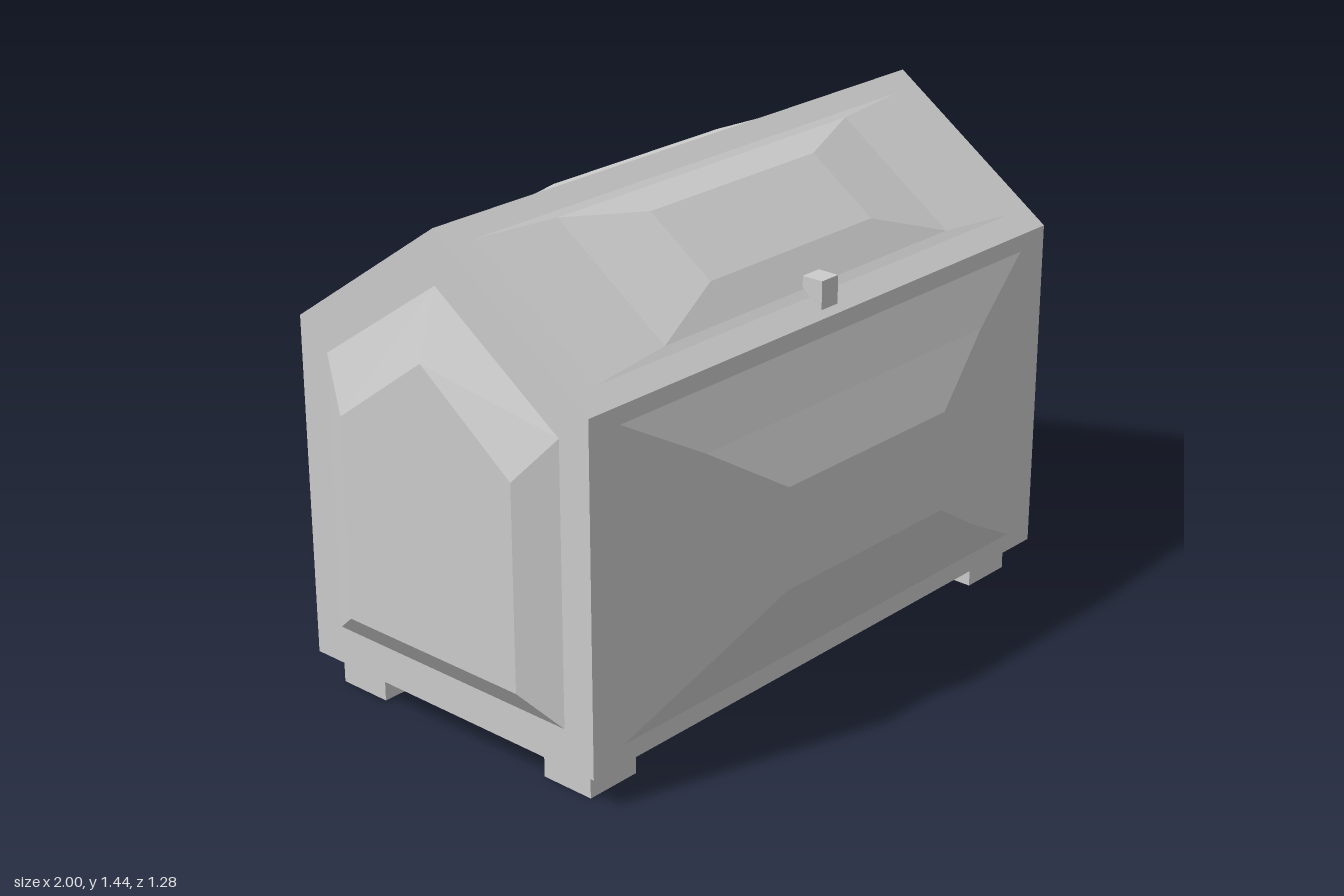
import * as THREE from 'three';

const grey = new THREE.MeshStandardMaterial({ color: 0xcccccc, flatShading: true });

const HALF_X = 0.94, HALF_Z = 0.52, FLOOR = 0.09, EAVE = 1.08, RIDGE = 1.44;
const SLOPE = (RIDGE - EAVE) / HALF_Z;

function mesh(name, geometry) {
  const m = new THREE.Mesh(geometry, grey);
  m.name = name;
  return m;
}

function box(name, x0, x1, y0, y1, z0, z1) {
  const m = mesh(name, new THREE.BoxGeometry(x1 - x0, y1 - y0, z1 - z0));
  m.position.set((x0 + x1) / 2, (y0 + y1) / 2, (z0 + z1) / 2);
  return m;
}

// Counter-clockwise outlines (u, v) at height h above a wall
const rect = (u, v0, v1, h) => [[-u, v0, h], [u, v0, h], [u, v1, h], [-u, v1, h]];
const gable = (u, v0, shoulder, peak, h) =>
  [[-u, v0, h], [u, v0, h], [u, shoulder, h], [0, peak, h], [-u, shoulder, h]];

// Raised panel: stacked outlines joined by facets, closed by a flat cap
function panel(name, rings, place) {
  const pos = [];
  const tri = (...pts) => pts.forEach(p => pos.push(...place(...p)));
  const n = rings[0].length;
  for (let r = 0; r < rings.length - 1; r++) {
    const a = rings[r], b = rings[r + 1];
    for (let i = 0; i < n; i++) {
      const j = (i + 1) % n;
      tri(a[i], a[j], b[j]);
      tri(a[i], b[j], b[i]);
    }
  }
  const cap = rings[rings.length - 1];
  for (let i = 1; i < n - 1; i++) tri(cap[0], cap[i], cap[i + 1]);
  const g = new THREE.BufferGeometry();
  g.setAttribute('position', new THREE.Float32BufferAttribute(pos, 3));
  g.computeVertexNormals();
  return mesh(name, g);
}

export function createModel() {
  const group = new THREE.Group();

  // Chest body and gabled lid
  group.add(box('body', -HALF_X, HALF_X, FLOOR, EAVE, -HALF_Z, HALF_Z));
  const profile = new THREE.Shape([
    new THREE.Vector2(-HALF_Z, EAVE), new THREE.Vector2(HALF_Z, EAVE), new THREE.Vector2(0, RIDGE),
  ]);
  const lid = new THREE.ExtrudeGeometry(profile, { depth: HALF_X * 2, bevelEnabled: false });
  lid.translate(0, 0, -HALF_X).rotateY(Math.PI / 2);
  group.add(mesh('lid', lid));

  // Long wall panels
  group.add(panel('frontPanel', [
    rect(0.83, 0.145, 1.03, 0), rect(0.575, 0.285, 0.885, 0.055), rect(0.33, 0.435, 0.73, 0.12),
  ], (u, v, h) => [u, v, HALF_Z + h]));
  group.add(panel('backPanel', [
    rect(0.84, 0.14, 1.03, 0), rect(0.59, 0.2, 0.96, 0.045), rect(0.33, 0.43, 0.73, 0.12),
  ], (u, v, h) => [-u, v, -HALF_Z - h]));

  // Gable end panels
  group.add(panel('leftPanel', [
    gable(0.45, 0.165, 1.03, 1.335, 0), gable(0.27, 0.28, 0.8, 0.98, 0.06),
  ], (u, v, h) => [HALF_X + h, v, -u]));
  group.add(panel('rightPanel', [
    gable(0.42, 0.2, 1.0, 1.29, 0), gable(0.31, 0.285, 0.87, 1.1, 0.06),
  ], (u, v, h) => [-HALF_X - h, v, u]));

  // Shallow lid panels, v measured down from the ridge, h vertical
  group.add(panel('frontLidPanel', [
    rect(0.85, -0.46, -0.055, 0), rect(0.58, -0.44, -0.075, 0.004), rect(0.33, -0.37, -0.165, 0.04),
  ], (u, v, h) => [u, RIDGE + SLOPE * v + h, -v]));
  group.add(panel('backLidPanel', [
    rect(0.85, -0.465, -0.055, 0), rect(0.58, -0.44, -0.075, 0.006), rect(0.33, -0.39, -0.185, 0.05),
  ], (u, v, h) => [-u, RIDGE + SLOPE * v + h, v]));

  // Latch knob
  group.add(box('latch', -0.038, 0.028, 1.095, 1.175, 0.435, 0.5));

  // Four feet
  for (const [x0, x1] of [[-0.9, -0.73], [0.72, 0.885]])
    for (const [z0, z1] of [[0.305, 0.47], [-0.465, -0.3]])
      group.add(box('foot', x0, x1, 0, FLOOR, z0, z1));

  return group;
}
